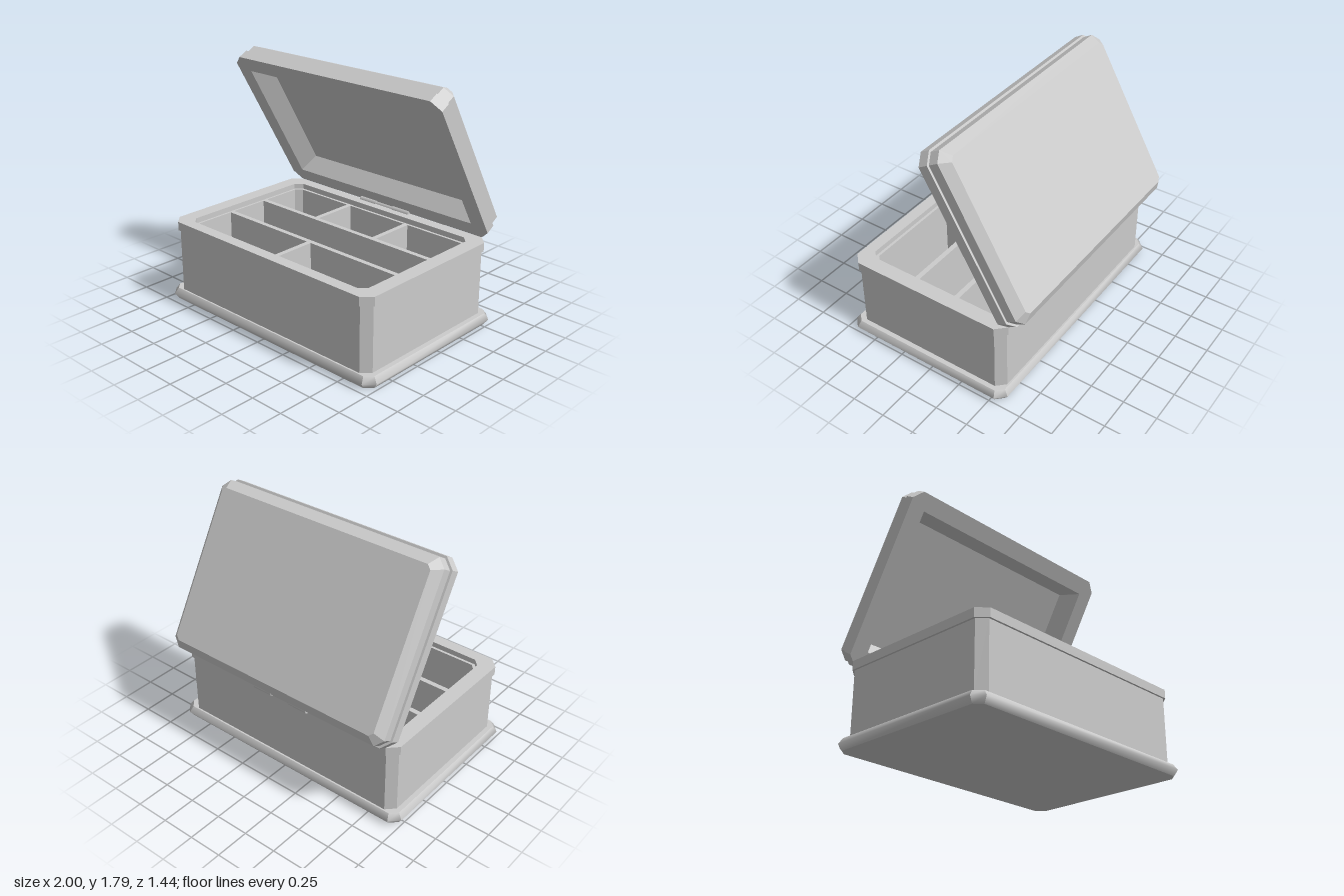
import * as THREE from 'three';
import { mergeGeometries } from 'three/addons/utils/BufferGeometryUtils.js';

const material = new THREE.MeshStandardMaterial({ color: 0xcccccc });

function addMesh(parent, name, geometry, x = 0, y = 0, z = 0) {
  const mesh = new THREE.Mesh(geometry, material);
  mesh.name = name;
  mesh.position.set(x, y, z);
  parent.add(mesh);
}

// Rectangle outline with cut corners: half sizes hx, hz and corner cut c
const outline = (hx, hz, c) => [
  [hx, hz - c], [hx - c, hz], [c - hx, hz], [-hx, hz - c],
  [-hx, c - hz], [c - hx, -hz], [hx - c, -hz], [hx, c - hz],
];

function facets(points, index, smooth) {
  const indexed = new THREE.BufferGeometry();
  indexed.setAttribute('position', new THREE.Float32BufferAttribute(points.flat(), 3));
  indexed.setIndex(index);
  if (smooth) indexed.computeVertexNormals();
  const geometry = indexed.toNonIndexed();
  if (!smooth) geometry.computeVertexNormals();
  return geometry;
}

// Skin a stack of outlines [hx, hz, cut, y], one strip per side;
// smooth shades each strip as rounded from bottom to top
function loft(rings, { smooth = false, caps = true } = {}) {
  const loops = rings.map(([hx, hz, c, y]) => outline(hx, hz, c).map(([x, z]) => [x, y, z]));
  const parts = [];
  for (let i = 0; i < 8; i++) {
    const points = loops.flatMap((loop) => [loop[i], loop[(i + 1) % 8]]);
    const index = [];
    for (let a = 0; a < points.length - 2; a += 2) {
      index.push(a, a + 2, a + 1, a + 1, a + 2, a + 3);
    }
    parts.push(facets(points, index, smooth));
  }
  if (caps) {
    const start = [];
    const end = [];
    for (let j = 1; j < 7; j++) {
      start.push(0, j, j + 1);
      end.push(0, j + 1, j);
    }
    parts.push(facets(loops[0], start, false), facets(loops.at(-1), end, false));
  }
  return mergeGeometries(parts);
}

// Compartment opening; corners on the tray's outer corners are cut
function compartment(x0, x1, z0, z1, limitX, limitZ, cut) {
  const points = [];
  const corners = [[x0, z0, 1, 1], [x1, z0, -1, 1], [x1, z1, -1, -1], [x0, z1, 1, -1]];
  corners.forEach(([x, z, sx, sz], i) => {
    const outer = Math.abs(x) > limitX - 0.001 && Math.abs(z) > limitZ - 0.001;
    if (!outer) return points.push(new THREE.Vector2(x, -z));
    const pair = [new THREE.Vector2(x, -(z + sz * cut)), new THREE.Vector2(x + sx * cut, -z)];
    points.push(...(i % 2 ? pair.reverse() : pair));
  });
  return new THREE.Path(points);
}

export function createModel() {
  const model = new THREE.Group();
  model.name = 'hingedBox';
  const zc = 0.058;

  // Plinth with a bulging edge
  addMesh(model, 'plinth', loft([
    [0.97, 0.635, 0.05, 0], [1, 0.665, 0.067, 0.0425], [0.97, 0.635, 0.05, 0.085],
  ], { smooth: true }), 0, 0, zc);

  // Box walls and the projecting rim, which drops to the tray ledge
  addMesh(model, 'boxWalls', loft([
    [0.935, 0.623, 0.06, 0.08], [0.935, 0.623, 0.06, 0.56],
  ], { caps: false }), 0, 0, zc);
  addMesh(model, 'rim', loft([
    [0.935, 0.623, 0.06, 0.56], [0.95, 0.638, 0.07, 0.56],
    [0.95, 0.638, 0.07, 0.625], [0.84, 0.552, 0.05, 0.625],
    [0.84, 0.552, 0.05, 0.58],
  ], { caps: false }), 0, 0, zc);

  // Tray: three small compartments at the back, one long, two wide in front
  const hx = 0.823, hz = 0.532, wall = 0.037, floorY = 0.12, ledgeY = 0.585;
  const rim = outline(0.843, 0.554, 0.05).reverse();
  const tray = new THREE.Shape(rim.map(([x, z]) => new THREE.Vector2(x, -z)));
  const rows = [[3, -hz, -0.186], [1, -0.149, 0.149], [2, 0.186, hz]];
  for (const [count, z0, z1] of rows) {
    const width = (2 * hx - (count - 1) * wall) / count;
    for (let i = 0; i < count; i++) {
      const x0 = -hx + i * (width + wall);
      tray.holes.push(compartment(x0, x0 + width, z0, z1, hx, hz, 0.045));
    }
  }
  const trayGeometry = new THREE.ExtrudeGeometry(tray, { depth: ledgeY - floorY, bevelEnabled: false });
  trayGeometry.rotateX(-Math.PI / 2);
  addMesh(model, 'trayDividers', trayGeometry, 0, floorY, zc);
  addMesh(model, 'trayFloor', new THREE.BoxGeometry(1.68, 0.02, 1.1), 0, floorY - 0.01, zc);

  // Lid, opened about its back edge; the skin starts at the hollow's ceiling
  const lid = new THREE.Group();
  lid.name = 'lid';
  lid.position.set(0, 0.626, -0.58);
  lid.rotation.x = -Math.PI / 3;
  model.add(lid);
  addMesh(lid, 'lidShell', loft([
    [0.747, 0.456, 0.001, 0.125], [0.825, 0.516, 0.001, 0],
    [0.95, 0.638, 0.07, 0], [0.95, 0.638, 0.07, 0.075],
    [0.934, 0.622, 0.06, 0.075], [0.934, 0.622, 0.06, 0.15],
    [0.875, 0.562, 0.03, 0.207],
  ]), 0, 0, 0.638);

  // Hinge barrel: two thick knuckles around a thinner one
  const hinge = new THREE.Group();
  hinge.name = 'hinge';
  model.add(hinge);
  for (const x of [-0.157, 0, 0.157]) {
    const radius = x ? 0.031 : 0.024;
    const knuckle = new THREE.CylinderGeometry(radius, radius, 0.156, 16);
    knuckle.rotateZ(Math.PI / 2);
    addMesh(hinge, 'hingeKnuckle', knuckle, x, 0.621, -0.582);
  }

  return model;
}
